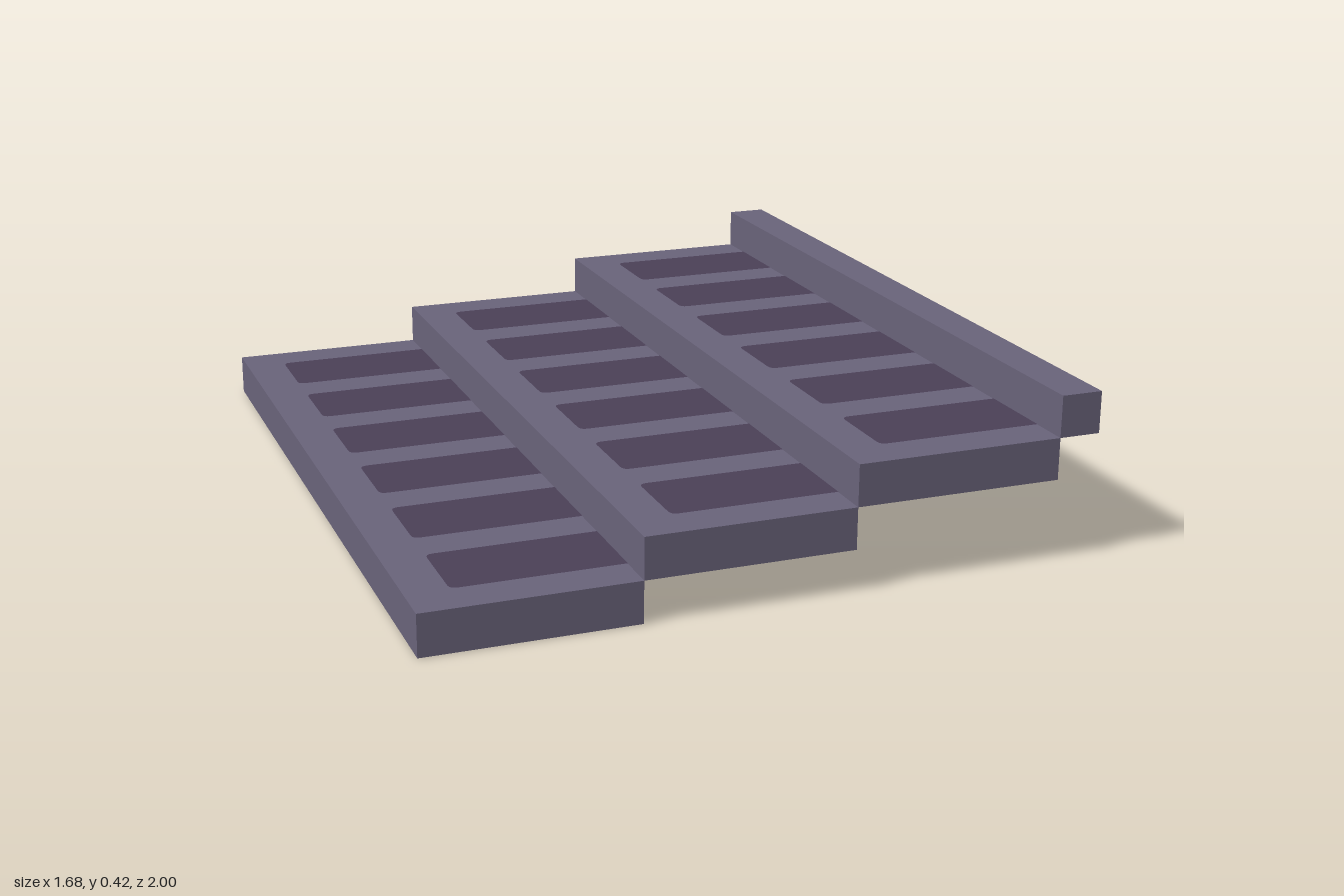
import * as THREE from 'three';

const U = 2 / 19; // one grid unit: 19 units long, 16 wide, 4 high
const LIFT = 0.001; // inlays sit just proud of the slab faces

export function createModel() {
  const slabMaterial = new THREE.MeshStandardMaterial({ color: 0x69637a });
  slabMaterial.name = 'slate purple';
  const inlayMaterial = new THREE.MeshStandardMaterial({ color: 0x4b4057 });
  inlayMaterial.name = 'dark plum';

  const add = (parent, name, geometry, material, x, y, z) => {
    const mesh = new THREE.Mesh(geometry, material);
    mesh.name = name;
    mesh.position.set(x, y, z);
    parent.add(mesh);
  };

  // Inlay outline: 4 x 2 units, corners softened at the low end only
  const r = 0.02;
  const outline = new THREE.Shape();
  outline.moveTo(2 * U, -U);
  outline.lineTo(2 * U, U);
  outline.lineTo(-2 * U + r, U);
  outline.quadraticCurveTo(-2 * U, U, -2 * U, U - r);
  outline.lineTo(-2 * U, -U + r);
  outline.quadraticCurveTo(-2 * U, -U, -2 * U + r, -U);
  outline.closePath();

  const inlayTop = new THREE.ShapeGeometry(outline, 4).rotateX(-Math.PI / 2);
  const inlayBottom = new THREE.ShapeGeometry(outline, 4).rotateX(Math.PI / 2);
  const inlayEnd = new THREE.PlaneGeometry(2 * U, U).rotateY(Math.PI / 2);
  const slab = new THREE.BoxGeometry(5 * U, U, 19 * U);

  const model = new THREE.Group();
  model.name = 'steppedPanel';

  // Three slabs climbing towards +x, each with six inlays
  for (let i = 0; i < 3; i++) {
    const step = new THREE.Group();
    step.name = `step${i + 1}`;
    step.position.set((-5.5 + 5 * i) * U, (i + 0.5) * U, 0);
    add(step, 'slab', slab, slabMaterial, 0, 0, 0);
    for (let j = 0; j < 6; j++) {
      const z = (j - 2.5) * 3 * U + 0;
      add(step, 'inlayTop', inlayTop, inlayMaterial, U / 2, U / 2 + LIFT, z);
      add(step, 'inlayBottom', inlayBottom, inlayMaterial, U / 2, -U / 2 - LIFT, z);
      add(step, 'inlayEnd', inlayEnd, inlayMaterial, 2.5 * U + LIFT, 0, z);
    }
    model.add(step);
  }

  // Plain square rail along the top edge
  add(model, 'topRail', new THREE.BoxGeometry(U, U, 19 * U), slabMaterial, 7.5 * U, 3.5 * U, 0);
  return model;
}
